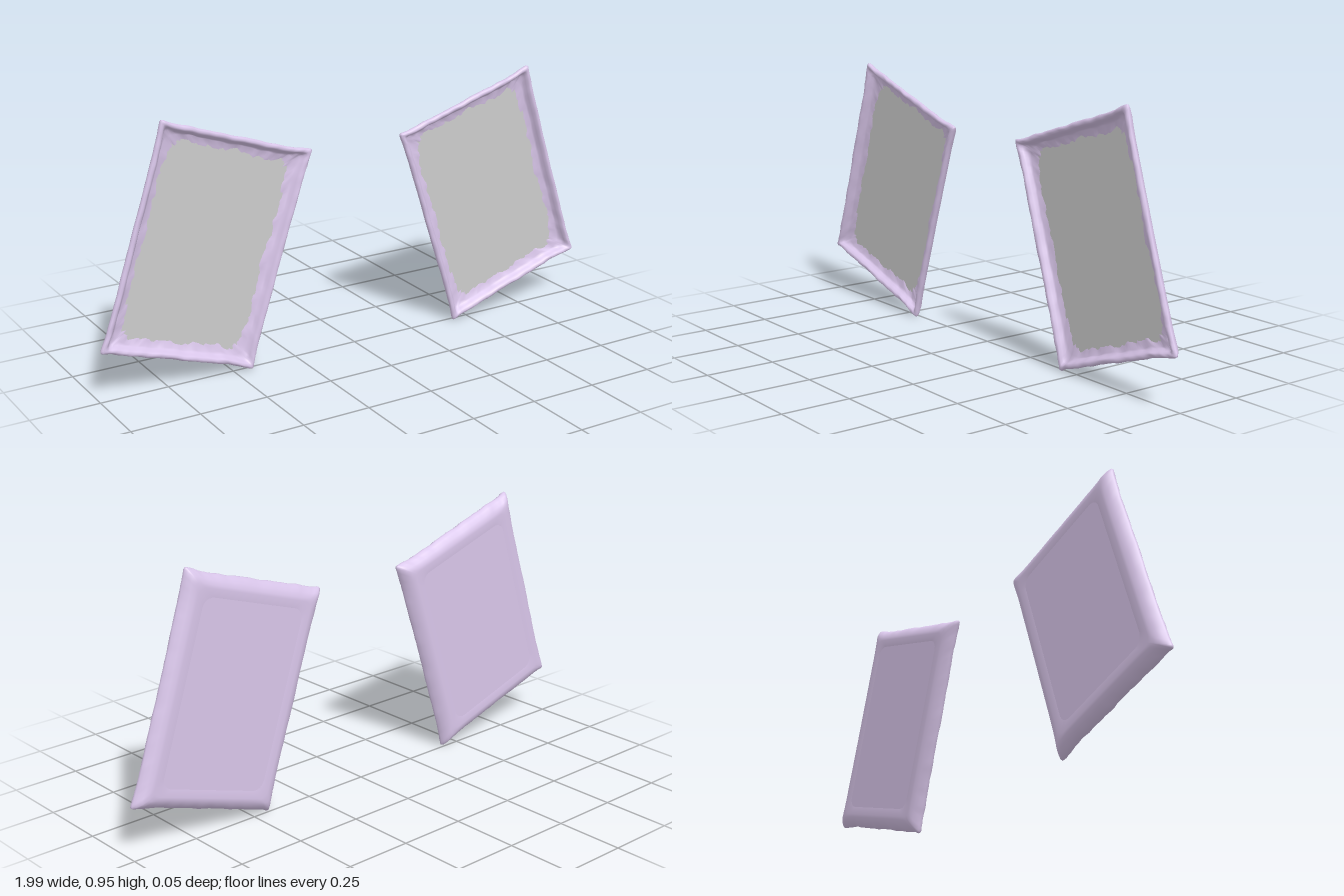
import * as THREE from 'three';

const HX = 0.3, HY = 0.407, TILT = 18.1 * Math.PI / 180;
const lilac = new THREE.MeshStandardMaterial({ color: 0xd9c6ea });
const grey = new THREE.MeshStandardMaterial({ color: 0xcccccc });

// Frame cross-section, back to front: inset from edge, z, corner radius, unevenness
const PROFILE = [
  [0.085, -0.0185, 0.04, 0], [0.083, -0.0215, 0.04, 0], [0.055, -0.022, 0.03, 0],
  [0.036, -0.021, 0.025, 0], [0.02, -0.014, 0.022, 0.2], [0.008, -0.002, 0.018, 0.4],
  [0.001, 0.008, 0.015, 0.5], [0.0, 0.015, 0.014, 0.6], [0.004, 0.021, 0.014, 0.6],
  [0.011, 0.023, 0.016, 0.6], [0.018, 0.02, 0.018, 0.5], [0.023, 0.01, 0.02, 0.4],
  [0.029, 0.0, 0.028, 0.5], [0.042, -0.005, 0.045, 1], [0.06, -0.009, 0.06, 1.2],
  [0.085, -0.016, 0.06, 0.8], [0.1, -0.019, 0.06, 0],
];

// Smooth periodic waviness around the perimeter
function wave(a) {
  return (Math.sin(5 * a + 1) + 0.8 * Math.sin(11 * a + 2.3) + 0.7 * Math.sin(23 * a)
    + 0.5 * Math.sin(41 * a + 0.7)) / 3;
}

// Points round the rectangle, counter-clockwise: side and position -1..1 along it
function perimeter(perSide) {
  const list = [];
  for (let side = 0; side < 4; side++)
    for (let k = 0; k < perSide; k++) {
      const t = Math.sin((k / perSide - 0.5) * Math.PI) * 0.4 + (2 * k / perSide - 1) * 0.6;
      list.push([side, t]);
    }
  return list;
}

function outlinePoint(side, t, inset, r, rough, angle) {
  const hx = HX - inset, hy = HY - inset;
  const [x, y] = [[hx, t * hy], [-t * hx, hy], [-hx, -t * hy], [t * hx, -hy]][side];
  const qx = THREE.MathUtils.clamp(x, r - hx, hx - r);
  const qy = THREE.MathUtils.clamp(y, r - hy, hy - r);
  const d = Math.hypot(x - qx, y - qy) || 1;
  const nx = (x - qx) / d, ny = (y - qy) / d;
  // Edges pinch in slightly between the flared corners; short edges are rougher
  const pinch = inset < 0.04 ? -0.008 * (1 - Math.pow(Math.abs(t), 8)) : 0;
  const jitter = rough * (side % 2 ? 0.007 : 0.003) * wave(angle) * (1 - t ** 8);
  const reach = r + pinch + jitter;
  return [qx + nx * reach, qy + ny * reach];
}

// Moulded frame swept round the rectangle
function frameGeometry() {
  const loop = perimeter(56), n = loop.length, m = PROFILE.length;
  const pos = [], index = [];
  loop.forEach(([side, t], i) => {
    const angle = i / n * Math.PI * 2;
    for (const [inset, z, r, rough] of PROFILE) {
      const [x, y] = outlinePoint(side, t, inset, r, rough, angle);
      const lift = z > -0.012 ? rough * 0.004 * wave(angle * 2 + inset * 40) : 0;
      pos.push(x, y, z + lift);
    }
  });
  for (let i = 0; i < n; i++)
    for (let j = 0; j < m - 1; j++) {
      const a = i * m + j, b = ((i + 1) % n) * m + j;
      index.push(a, b, a + 1, b, b + 1, a + 1);
    }
  const g = new THREE.BufferGeometry();
  g.setAttribute('position', new THREE.Float32BufferAttribute(pos, 3));
  g.setIndex(index);
  g.computeVertexNormals();
  return g;
}

// Flat sheet with rounded corners
function sheet(inset, r) {
  const x = HX - inset, y = HY - inset, s = new THREE.Shape();
  s.absarc(x - r, y - r, r, 0, Math.PI / 2);
  s.absarc(r - x, y - r, r, Math.PI / 2, Math.PI);
  s.absarc(r - x, r - y, r, Math.PI, Math.PI * 1.5);
  s.absarc(x - r, r - y, r, Math.PI * 1.5, Math.PI * 2);
  return new THREE.ShapeGeometry(s, 10);
}

export function createModel() {
  const model = new THREE.Group();
  const frameGeo = frameGeometry();
  const backGeo = sheet(0.083, 0.04).rotateY(Math.PI).translate(0, 0, -0.0212);
  const paneGeo = sheet(0.032, 0.03).translate(0, 0, -0.01);

  // Two identical panels leaning towards each other at the bottom
  for (const side of [1, -1]) {
    const panel = new THREE.Group();
    panel.name = side > 0 ? 'leftPanel' : 'rightPanel';
    const parts = { frame: [frameGeo, lilac], backPlate: [backGeo, lilac], pane: [paneGeo, grey] };
    for (const [name, [geo, mat]] of Object.entries(parts)) {
      const mesh = new THREE.Mesh(geo, mat);
      mesh.name = name;
      panel.add(mesh);
    }
    panel.position.set(side * 0.588, 0.482, 0);
    panel.rotation.z = side * TILT;
    model.add(panel);
  }
  return model;
}
